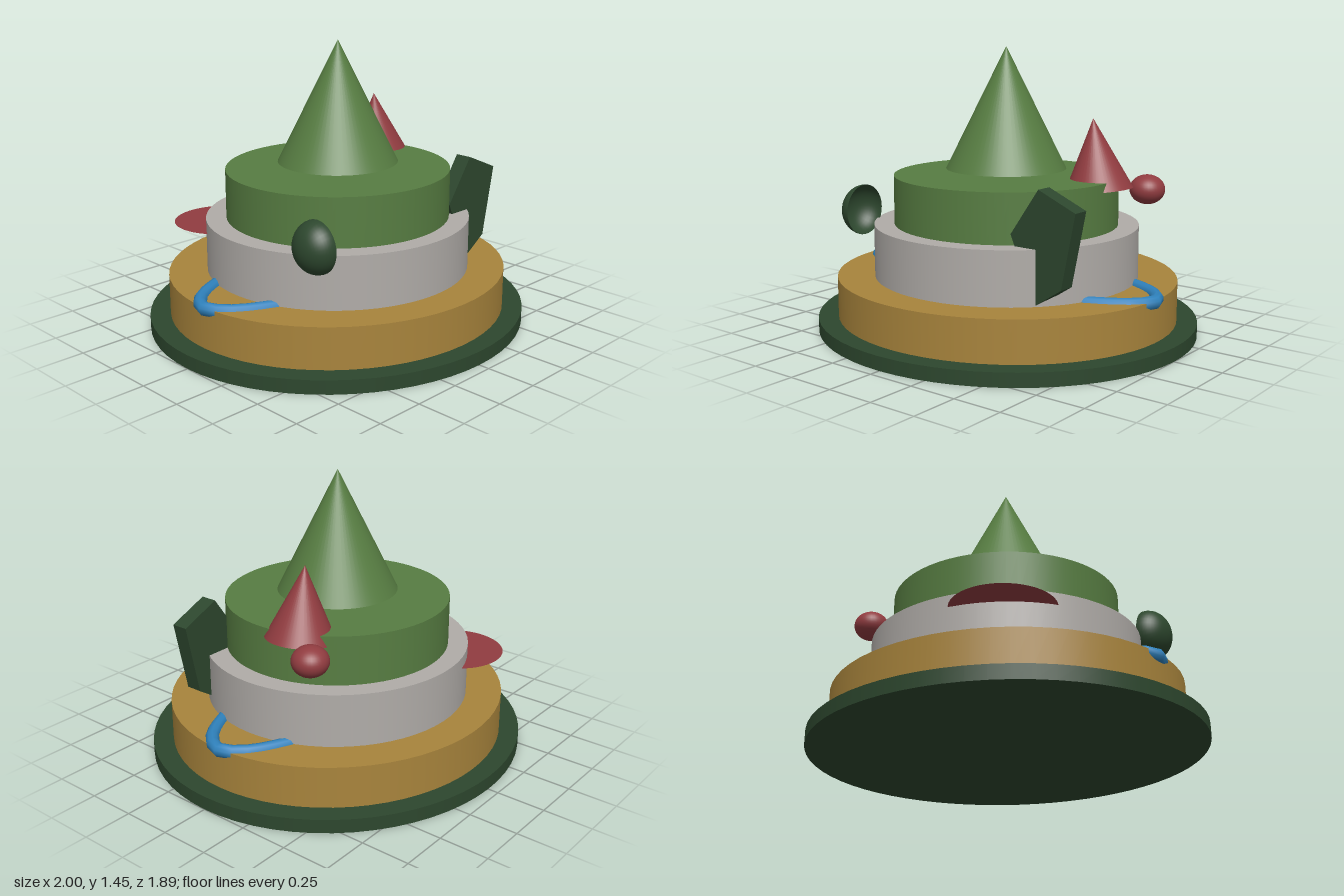
import * as THREE from 'three';

const mat = (name, color) => {
  const m = new THREE.MeshStandardMaterial({ color, side: THREE.DoubleSide });
  m.name = name;
  return m;
};

export function createModel() {
  const model = new THREE.Group();
  model.name = 'tieredModel';
  const darkGreen = mat('dark green', 0x2d472e);
  const green = mat('green', 0x577d42);
  const tan = mat('tan', 0xa8843c);
  const grey = mat('warm grey', 0xb0aca8);
  const red = mat('red', 0x913c40);
  const blue = mat('blue', 0x2f82bd);

  const add = (name, geometry, material, x = 0, y = 0, z = 0) => {
    const mesh = new THREE.Mesh(geometry, material);
    mesh.name = name;
    mesh.position.set(x, y, z);
    model.add(mesh);
    return mesh;
  };

  // Stacked, slightly oval tiers: name, x radius, z radius, bottom, top
  const tiers = [
    ['basePlate', 1, 0.945, 0, 0.07, darkGreen],
    ['lowerTier', 0.895, 0.845, 0.07, 0.28, tan],
    ['middleTier', 0.687, 0.67, 0.28, 0.55, grey],
    ['upperTier', 0.58, 0.57, 0.55, 0.8, green],
  ];
  for (const [name, rx, rz, y0, y1, material] of tiers) {
    const g = new THREE.CylinderGeometry(1, 1, y1 - y0, 64).scale(rx, 1, rz);
    add(name, g, material, 0, (y0 + y1) / 2, 0);
  }

  // Central cone hovering just above the top tier
  add('centralCone', new THREE.ConeGeometry(0.31, 0.62, 64).scale(1, 1, 0.985), green, 0, 1.14, 0);

  // Leaning side cone and the ball beside it
  const sideCone = add('sideCone', new THREE.ConeGeometry(0.172, 0.357, 48), red, 0.449, 0.922, -0.152);
  sideCone.rotation.z = 0.11;
  add('sideBall', new THREE.SphereGeometry(1, 32, 20).scale(0.09, 0.075, 0.09), red, 0.63, 0.737, -0.35);

  // Thin horizontal disc at the back
  add('backDisc', new THREE.CircleGeometry(0.252, 48).rotateX(-Math.PI / 2), red, -0.38, 0.49, -0.475);

  // Open half dome facing outwards
  const dome = new THREE.SphereGeometry(1, 32, 12, 0, Math.PI * 2, 0, Math.PI / 2)
    .rotateZ(Math.PI / 2).scale(0.11, 0.13, 0.124);
  add('sideDome', dome, darkGreen, -0.58, 0.61, 0.446);

  // Five-sided slab standing at the front
  const outline = [[0.37, 0.604], [0.51, 0.283], [0.658, 0.38], [0.733, 0.743], [0.528, 0.83]];
  const slab = new THREE.Shape(outline.map(([x, y]) => new THREE.Vector2(x, y)));
  add('frontSlab', new THREE.ExtrudeGeometry(slab, { depth: 0.086, bevelEnabled: false }), darkGreen, 0, 0, 0.355);

  // Looped handles, one on each side
  for (const s of [1, -1]) {
    const path = new THREE.CatmullRomCurve3(
      [[0.5, -0.25], [0.64, -0.213], [0.825, -0.108], [0.888, 0], [0.825, 0.108], [0.64, 0.213], [0.5, 0.25]]
        .map(([x, z]) => new THREE.Vector3(s * x, 0.27, z)));
    add(s > 0 ? 'leftHandle' : 'rightHandle', new THREE.TubeGeometry(path, 14, 0.034, 10), blue);
  }

  return model;
}
